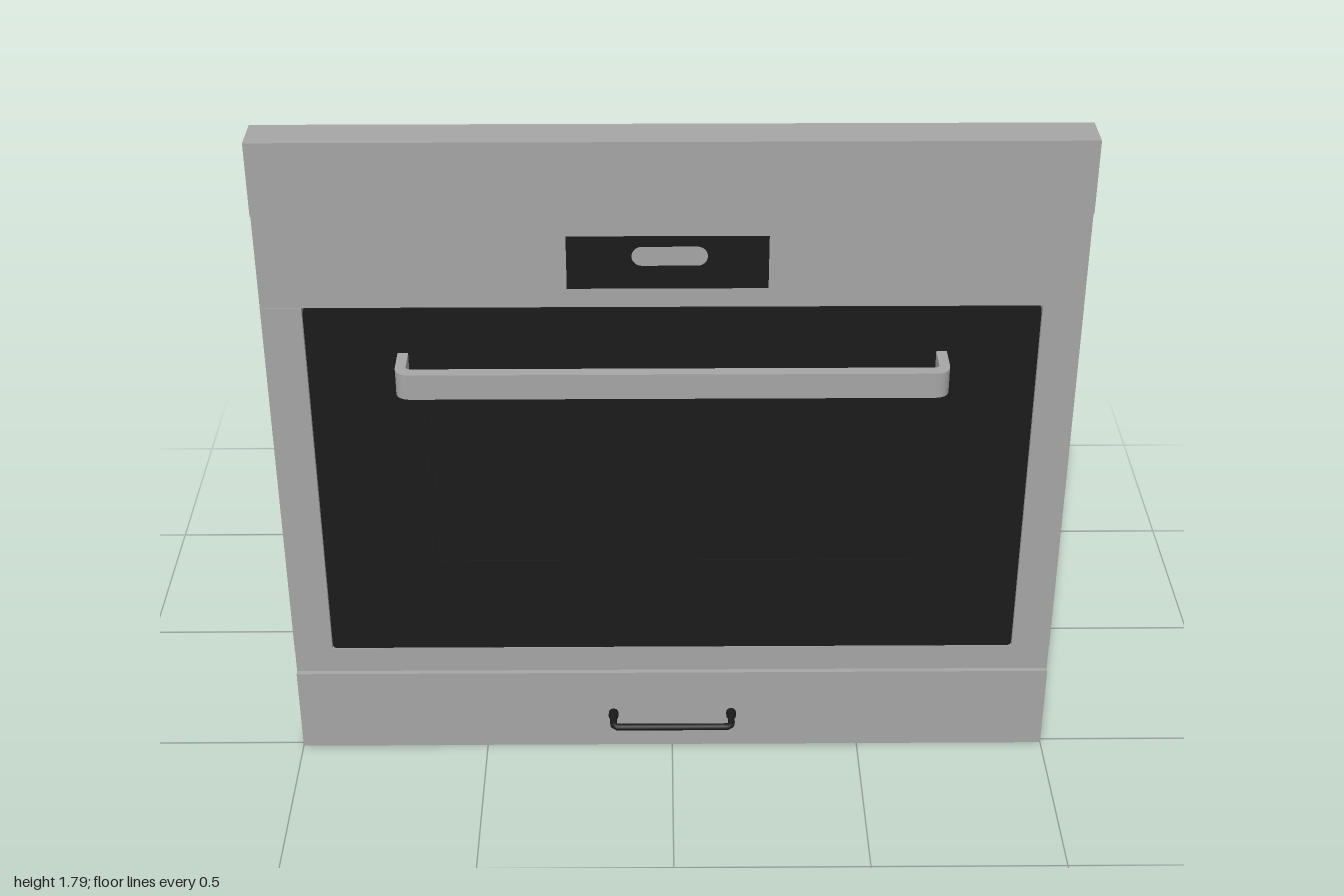
import * as THREE from 'three';
import { mergeGeometries } from 'three/addons/utils/BufferGeometryUtils.js';

const mat = (name, color) => {
  const m = new THREE.MeshStandardMaterial({ color });
  m.name = name;
  return m;
};
const V = (x, y, z) => new THREE.Vector3(x, y, z);

// Box given by its minimum and maximum corners
function boxGeo(x0, x1, y0, y1, z0, z1) {
  return new THREE.BoxGeometry(x1 - x0, y1 - y0, z1 - z0)
    .translate((x0 + x1) / 2, (y0 + y1) / 2, (z0 + z1) / 2);
}

// Straight wires running through a list of points
function wireGeo(points, r) {
  const parts = [];
  for (let i = 0; i < points.length - 1; i++) {
    const a = points[i], b = points[i + 1];
    const d = b.clone().sub(a);
    const g = new THREE.CylinderGeometry(r, r, d.length(), 6);
    g.applyQuaternion(new THREE.Quaternion().setFromUnitVectors(V(0, 1, 0), d.normalize()));
    g.translate((a.x + b.x) / 2, (a.y + b.y) / 2, (a.z + b.z) / 2);
    parts.push(g);
  }
  return mergeGeometries(parts);
}

// Bent rod with rounded corners
function rodGeo(points, r, corner, sides = 8) {
  const path = new THREE.CurvePath();
  let from = points[0];
  for (let i = 1; i < points.length - 1; i++) {
    const p = points[i];
    const toward = (q) => {
      const d = q.clone().sub(p);
      return p.clone().add(d.setLength(Math.min(corner, d.length() * 0.45)));
    };
    const a = toward(points[i - 1]), b = toward(points[i + 1]);
    path.add(new THREE.LineCurve3(from, a));
    path.add(new THREE.QuadraticBezierCurve3(a, p, b));
    from = b;
  }
  path.add(new THREE.LineCurve3(from, points[points.length - 1]));
  return new THREE.TubeGeometry(path, Math.ceil(path.getLength() / 0.012), r, sides, false);
}

export function createModel() {
  const root = new THREE.Group();
  root.name = 'builtInOven';
  const steel = mat('brushedSteel', 0xa5a5a5);
  const black = mat('blackGlass', 0x1b1b1b);
  const wire = mat('rackSteel', 0x969696);
  const add = (name, geo, material) => {
    const m = new THREE.Mesh(geo, material);
    m.name = name;
    root.add(m);
  };

  // Sheet-metal panel: a front plate with folded edges, open at the back
  const tray = (name, y0, y1, z0, z1) => {
    const t = 0.006;
    add(name, mergeGeometries([
      boxGeo(-1, 1, y0, y1, z1 - t, z1),
      boxGeo(-1, 1, y0, y0 + t, z0, z1 - t),
      boxGeo(-1, 1, y1 - t, y1, z0, z1 - t),
      boxGeo(-1, -1 + t, y0 + t, y1 - t, z0, z1 - t),
      boxGeo(1 - t, 1, y0 + t, y1 - t, z0, z1 - t),
    ]), steel);
  };
  tray('drawerFront', 0, 0.243, 0.41, 0.514);
  tray('controlPanel', 1.348, 1.599, 0.45, 0.504);
  tray('topPanel', 1.6, 1.79, 0.41, 0.514);
  add('lowerTrim', boxGeo(-1, 1, 0.244, 0.319, 0.45, 0.502), steel);
  for (const [side, x0] of [['left', 0.9], ['right', -1]])
    add(side + 'Stile', boxGeo(x0, x0 + 0.1, 0.319, 1.348, 0.47, 0.505), steel);

  // Door frame with a slightly recessed inner window
  const frame = new THREE.Shape();
  const w = 0.898, c = 0.012, y0 = 0.322, y1 = 1.345;
  frame.moveTo(-w + c, y0).lineTo(w - c, y0).quadraticCurveTo(w, y0, w, y0 + c)
    .lineTo(w, y1 - c).quadraticCurveTo(w, y1, w - c, y1)
    .lineTo(-w + c, y1).quadraticCurveTo(-w, y1, -w, y1 - c)
    .lineTo(-w, y0 + c).quadraticCurveTo(-w, y0, -w + c, y0);
  frame.holes.push(new THREE.Path().moveTo(-0.608, 0.6).lineTo(-0.608, 1.03)
    .lineTo(0.608, 1.03).lineTo(0.608, 0.6).lineTo(-0.608, 0.6));
  add('door', new THREE.ExtrudeGeometry(frame, { depth: 0.034, bevelEnabled: false })
    .translate(0, 0, 0.47), black);
  add('doorWindow', boxGeo(-0.608, 0.608, 0.6, 1.03, 0.465, 0.5), black);

  // Display and its pill-shaped readout
  add('display', boxGeo(-0.255, 0.232, 1.4, 1.54, 0.5, 0.507), black);
  add('displayHousing', boxGeo(-0.255, 0.232, 1.4, 1.54, 0.478, 0.498), steel);
  const pill = new THREE.Shape();
  pill.absarc(0.06, 0, 0.025, -Math.PI / 2, Math.PI / 2);
  pill.absarc(-0.073, 0, 0.025, Math.PI / 2, Math.PI * 1.5);
  add('readout', new THREE.ExtrudeGeometry(pill, { depth: 0.002, bevelEnabled: false })
    .translate(0, 1.488, 0.507), steel);

  // Door handle: flat U-shaped bar, drawn from above and raised along y
  const u = new THREE.Shape();
  u.moveTo(-0.674, 0.466).lineTo(-0.674, 0.573)
    .quadraticCurveTo(-0.674, 0.613, -0.634, 0.613)
    .lineTo(0.634, 0.613)
    .quadraticCurveTo(0.674, 0.613, 0.674, 0.573)
    .lineTo(0.674, 0.466).lineTo(0.648, 0.466).lineTo(0.648, 0.57)
    .quadraticCurveTo(0.648, 0.583, 0.635, 0.583)
    .lineTo(-0.635, 0.583)
    .quadraticCurveTo(-0.648, 0.583, -0.648, 0.57)
    .lineTo(-0.648, 0.466);
  add('doorHandle', new THREE.ExtrudeGeometry(u, { depth: 0.068, bevelEnabled: false })
    .rotateX(Math.PI / 2).translate(0, 1.221, 0), steel);

  // Drawer handle
  add('drawerHandle', rodGeo([V(-0.158, 0.11, 0.51), V(-0.158, 0.11, 0.577),
    V(0.158, 0.11, 0.577), V(0.158, 0.11, 0.51)], 0.009, 0.015), black);
  for (const x of [-0.158, 0.158])
    add('drawerHandleFoot', new THREE.CylinderGeometry(0.013, 0.013, 0.02, 12)
      .rotateX(Math.PI / 2).translate(x, 0.11, 0.522), black);

  // Side frames: two posts and five runner pairs each; upper runners are cranked at the front
  const levels = [[1.172, 1.207, 1.13], [0.932, 0.967, 0.89], [0.857, 0.832, 0.815],
    [0.795, 0.832, 0.75], [0.507, 0.542, 0.464]];
  for (const [side, x] of [['left', 0.725], ['right', -0.745]]) {
    const parts = [];
    for (const z of [0.427, -0.603]) parts.push(wireGeo([V(x, 0.453, z), V(x, 1.222, z)], 0.006));
    for (const [back, front, low] of levels) {
      parts.push(wireGeo([V(x, low, 0.427), V(x, low, -0.603)], 0.006));
      parts.push(rodGeo([V(x, front, 0.427), V(x, front, 0.325), V(x, back, 0.225),
        V(x, back, -0.603)], 0.006, 0.03, 6));
    }
    add(side + 'RackFrame', mergeGeometries(parts), wire);
  }

  // Two wire shelves with a sunken middle
  const crossZ = [-0.36, -0.29, -0.24, -0.195, -0.165, -0.09, -0.02, 0.05, 0.08, 0.125, 0.19];
  for (const [name, top] of [['upperShelf', 0.914], ['lowerShelf', 0.785]]) {
    const low = top - 0.036, r = 0.003, parts = [];
    const x0 = -0.8, x1 = 0.777, z0 = -0.537, z1 = 0.366;
    parts.push(wireGeo([V(x0, top, z0), V(x1, top, z0), V(x1, top, z1), V(x0, top, z1),
      V(x0, top, z0)], 0.004));
    for (const z of [-0.45, 0.28, 0.335]) parts.push(wireGeo([V(x0, top, z), V(x1, top, z)], r));
    for (const z of crossZ)
      parts.push(wireGeo([V(x0, top, z), V(-0.68, top, z), V(-0.61, low, z), V(0.58, low, z),
        V(0.655, top, z), V(x1, top, z)], r));
    for (const x of [-0.61, 0.505, 0.58])
      parts.push(wireGeo([V(x, top, z0), V(x, top, -0.44), V(x, low, -0.36), V(x, low, 0.19),
        V(x, top, 0.28), V(x, top, z1)], r));
    parts.push(wireGeo([V(0.655, top, z0), V(0.655, top, z1)], r));
    // Corner diagonals down to the sunken part
    for (const [xa, xb] of [[x0, -0.6], [x1, 0.58]])
      for (const [za, zb] of [[z0, -0.36], [z1, 0.19]])
        parts.push(wireGeo([V(xa, top, za), V((xa + xb) / 2, top, (za + zb) / 2), V(xb, low, zb)], r));
    add(name, mergeGeometries(parts), wire);
  }

  // Grill heating element under the oven roof
  const element = (name, pts) =>
    add(name, rodGeo(pts.map(([x, z]) => V(x, 1.172, z)), 0.007, 0.045), wire);
  element('outerHeatingElement', [[0.388, -0.61], [0.388, -0.517], [-0.615, -0.517], [-0.615, 0.2],
    [-0.54, 0.2], [-0.54, 0.268], [-0.615, 0.268], [-0.615, 0.34], [0.505, 0.34]]);
  element('innerHeatingElement', [[0.443, -0.61], [0.443, -0.44], [-0.533, -0.44], [-0.533, 0.16],
    [0.212, 0.16], [0.212, -0.355], [0.4, -0.355], [0.4, 0.16], [0.505, 0.16]]);

  return root;
}
